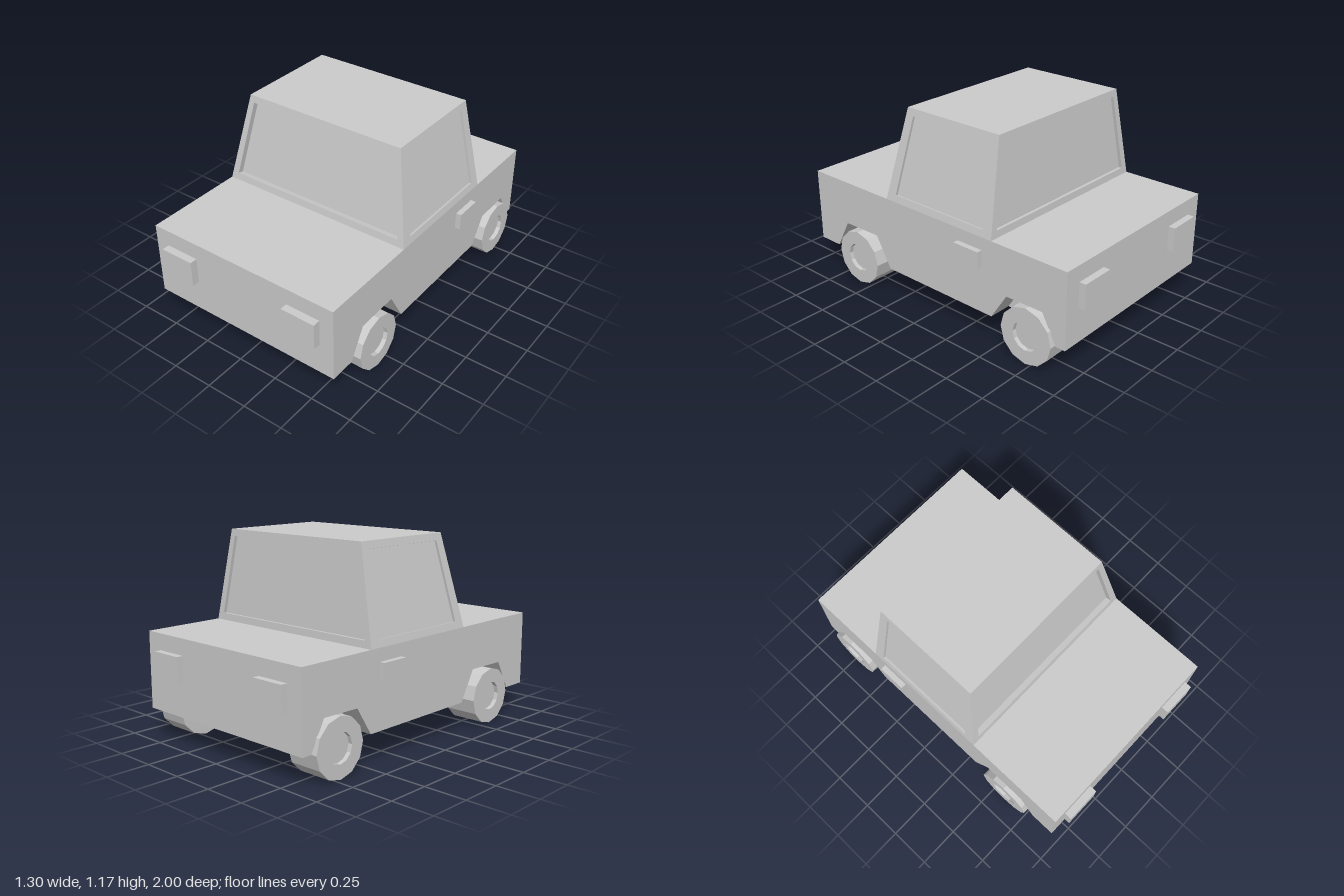
import * as THREE from 'three';

const material = new THREE.MeshStandardMaterial({ color: 0xcccccc, flatShading: true, side: THREE.DoubleSide });
const HALF = 0.615, BOTTOM = 0.175, DECK = 0.625, FRONT = 0.955, BACK = -0.96, ARCH_DEPTH = 0.14;

function add(parent, name, geometry, x = 0, y = 0, z = 0) {
  const mesh = new THREE.Mesh(geometry, material);
  mesh.name = name;
  mesh.position.set(x, y, z);
  parent.add(mesh);
  return mesh;
}

// Side profile given as [z, y] points, extruded from x = left towards -x
function slab(parent, name, profile, left, width) {
  const shape = new THREE.Shape(profile.map(([z, y]) => new THREE.Vector2(z, y)));
  const geometry = new THREE.ExtrudeGeometry(shape, { depth: width, bevelEnabled: false });
  geometry.rotateY(-Math.PI / 2);
  return add(parent, name, geometry, left);
}

function quads(list) {
  const points = list.flatMap(([a, b, c, d]) => [a, b, c, a, c, d]);
  const geometry = new THREE.BufferGeometry().setFromPoints(points);
  geometry.computeVertexNormals();
  return geometry;
}

// Cabin wall with a recessed window; corners run counter-clockwise seen from outside
function windowWall(parent, name, corners, u, v, depth) {
  const [bl, br, tr, tl] = corners;
  const at = (s, t) => bl.clone().lerp(br, s).lerp(tl.clone().lerp(tr, s), t);
  const rim = [at(u, v), at(1 - u, v), at(1 - u, 1 - v), at(u, 1 - v)];
  const inward = br.clone().sub(bl).cross(tl.clone().sub(bl)).normalize().multiplyScalar(-depth);
  const glass = rim.map((p) => p.clone().add(inward));
  const frame = [];
  for (let i = 0; i < 4; i++) {
    const j = (i + 1) % 4;
    frame.push([corners[i], corners[j], rim[j], rim[i]]);
    frame.push([rim[i], rim[j], glass[j], glass[i]]);
  }
  add(parent, name + 'Frame', quads(frame));
  add(parent, name + 'Glass', quads([glass]));
}

function wheelGeometry() {
  const profile = [[0, -0.1], [0.168, -0.1], [0.168, 0.1], [0.086, 0.1], [0.086, 0.075], [0, 0.075]];
  return new THREE.LatheGeometry(profile.map(([r, y]) => new THREE.Vector2(r, y)), 12);
}

export function createModel() {
  const car = new THREE.Group();
  car.name = 'pickup';

  // Body: plain core with notched slabs that form the wheel arches
  const body = new THREE.Group();
  body.name = 'body';
  car.add(body);
  const ends = [[FRONT, BOTTOM], [FRONT, DECK], [BACK, DECK], [BACK, BOTTOM]];
  const arches = [
    [-0.9, BOTTOM], [-0.81, 0.342], [-0.57, 0.338], [-0.465, BOTTOM],
    [0.33, BOTTOM], [0.435, 0.357], [0.7, 0.353], [0.8, BOTTOM],
  ];
  const core = HALF - ARCH_DEPTH;
  slab(body, 'bodyCore', ends, core, core * 2);
  slab(body, 'leftSide', [...ends, ...arches], HALF, ARCH_DEPTH);
  slab(body, 'rightSide', [...ends, ...arches], -core, ARCH_DEPTH);

  // Cabin: tapered walls with recessed windows and a flat roof
  const cabin = new THREE.Group();
  cabin.name = 'cabin';
  car.add(cabin);
  const ring = (x, y, front, back) =>
    [[-x, front], [x, front], [x, back], [-x, back]].map(([px, z]) => new THREE.Vector3(px, y, z));
  const low = ring(HALF, DECK, 0.33, -0.465);
  const high = ring(0.51, 1.168, 0.233, -0.43);
  const walls = [
    ['windshield', 0.035, 0.035], ['leftWindow', 0.08, 0.015],
    ['rearWindow', 0.035, 0.02], ['rightWindow', 0.08, 0.015],
  ];
  walls.forEach(([name, margin, depth], i) => {
    const j = (i + 1) % 4;
    windowWall(cabin, name, [low[i], low[j], high[j], high[i]], margin, 0.076, depth);
  });
  add(cabin, 'roof', quads([high]));

  // Mirrored parts: wheels, lamps and door handles
  const wheel = wheelGeometry();
  for (const [side, s] of [['left', 1], ['right', -1]]) {
    for (const [end, z] of [['Front', 0.585], ['Rear', -0.72]]) {
      add(car, side + end + 'Wheel', wheel, s * 0.539, 0.17, z).rotation.z = -s * Math.PI / 2;
    }
    add(car, side + 'Headlight', new THREE.BoxGeometry(0.213, 0.157, 0.065), s * 0.422, 0.447, 0.9675);
    add(car, side + 'TailLight', new THREE.BoxGeometry(0.205, 0.147, 0.06), s * 0.412, 0.455, -0.97);
    add(car, side + 'DoorHandle', new THREE.BoxGeometry(0.05, 0.1, 0.172), s * 0.623, 0.5, -0.312);
  }
  return car;
}
